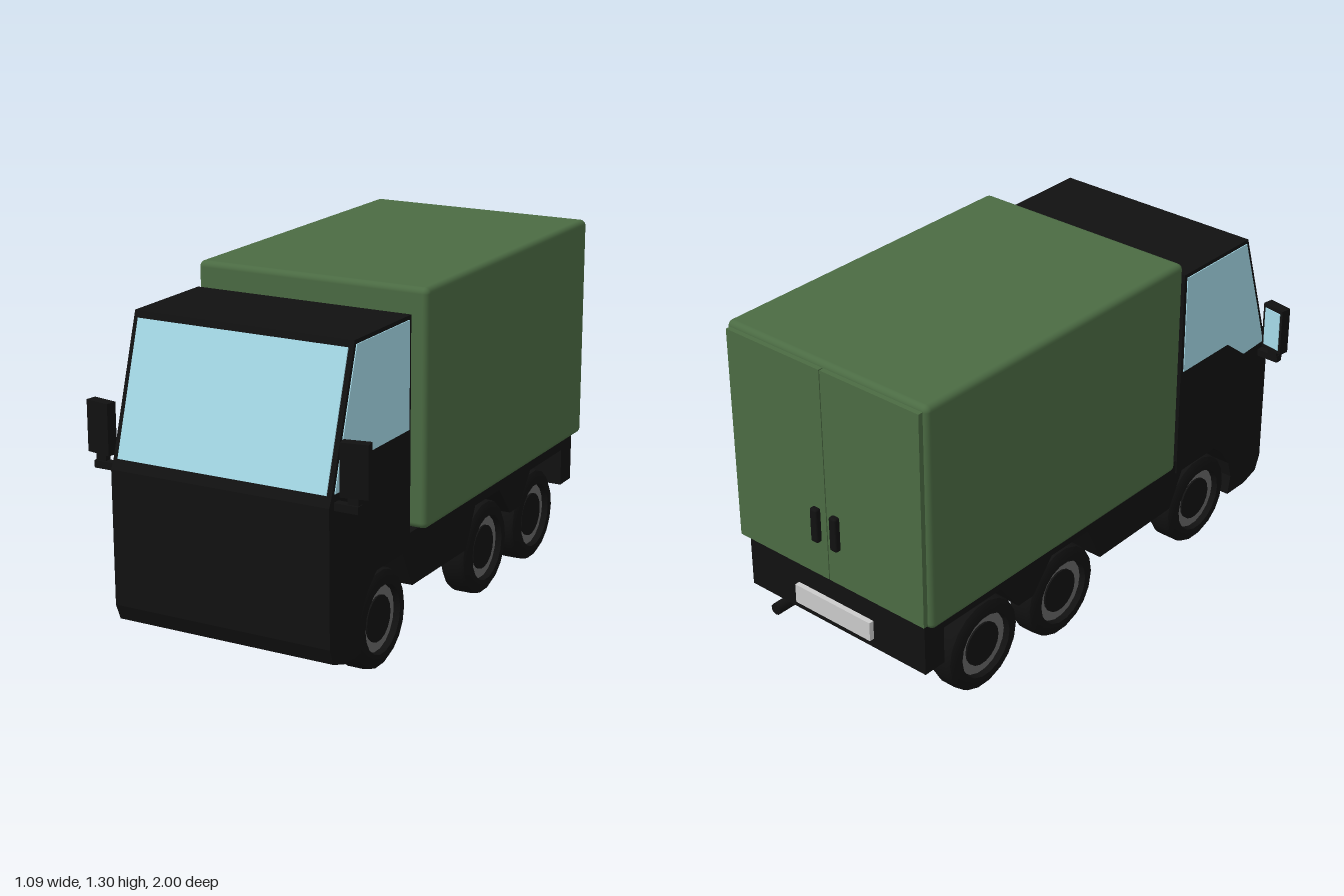
import * as THREE from 'three';
import { toCreasedNormals } from 'three/addons/utils/BufferGeometryUtils.js';
import { RoundedBoxGeometry } from 'three/addons/geometries/RoundedBoxGeometry.js';

const mat = (color) => new THREE.MeshStandardMaterial({ color });
const black = mat(0x111111);
const green = mat(0x4b6b43);
const glass = mat(0xa5dae8);
const rimGrey = mat(0x666666);
const plateGrey = mat(0xcccccc);

function add(parent, name, geometry, material, x = 0, y = 0, z = 0) {
  const mesh = new THREE.Mesh(geometry, material);
  mesh.name = name;
  mesh.position.set(x, y, z);
  parent.add(mesh);
  return mesh;
}

const box = (w, h, d) => new THREE.BoxGeometry(w, h, d);

// Side profile of [z, y] points, extruded across x and centred on x = 0
function across(points, width) {
  const shape = new THREE.Shape(points.map(([z, y]) => new THREE.Vector2(z, y)));
  const geometry = new THREE.ExtrudeGeometry(shape, { depth: width, bevelEnabled: false });
  return geometry.rotateY(-Math.PI / 2).translate(width / 2, 0, 0);
}

// Wheel facing +x, centred on its own axis
function createWheel() {
  const wheel = new THREE.Group();
  wheel.name = 'wheel';
  const profile = [
    [0.02, -0.058], [0.155, -0.058], [0.175, -0.045], [0.18, -0.03], [0.18, 0.03],
    [0.175, 0.045], [0.155, 0.058], [0.125, 0.058], [0.12, 0.03],
  ].map(([r, h]) => new THREE.Vector2(r, h));
  const tyre = toCreasedNormals(new THREE.LatheGeometry(profile, 18), 0.6);
  add(wheel, 'tyre', tyre.rotateZ(-Math.PI / 2), black);
  const rim = new THREE.CylinderGeometry(0.122, 0.122, 0.02, 18).rotateZ(-Math.PI / 2);
  add(wheel, 'rim', rim, rimGrey, 0.025);
  const hub = new THREE.CylinderGeometry(0.084, 0.084, 0.02, 18).rotateZ(-Math.PI / 2);
  add(wheel, 'hub', hub, black, 0.032);
  return wheel;
}

// Door mirror for the +x side
function createMirror() {
  const mirror = new THREE.Group();
  mirror.name = 'doorMirror';
  add(mirror, 'mirrorArm', box(0.1, 0.027, 0.03), black, 0.465, 0.698, 0.955);
  add(mirror, 'mirrorStem', box(0.04, 0.05, 0.025), black, 0.492, 0.725, 0.95);
  const head = new THREE.Group();
  head.name = 'mirrorHead';
  head.position.set(0.495, 0.828, 0.948);
  head.rotation.y = 0.18;
  add(head, 'mirrorHousing', box(0.098, 0.185, 0.04), black);
  add(head, 'mirrorGlass', box(0.076, 0.155, 0.004), glass, 0, 0, -0.021);
  mirror.add(head);
  return mirror;
}

export function createModel() {
  const truck = new THREE.Group();
  truck.name = 'boxTruck';

  // Cab with front wheel arch
  const cab = new THREE.Group();
  cab.name = 'cab';
  truck.add(cab);
  add(cab, 'cabBody', across([
    [0.44, 1.22], [0.83, 1.22], [0.985, 0.73], [1, 0.7], [1, 0.21], [0.975, 0.15],
    [0.9, 0.125], [0.79, 0.125], [0.805, 0.2], [0.785, 0.27], [0.74, 0.335],
    [0.68, 0.385], [0.44, 0.385],
  ], 0.85), black);
  add(cab, 'windscreen', across([
    [0.838, 1.195], [0.842, 1.197], [0.987, 0.737], [0.983, 0.735],
  ], 0.814), glass);
  const windowProfile = [
    [0.455, 0.82], [0.455, 1.205], [0.82, 1.205], [0.915, 0.905],
    [0.966, 0.74], [0.84, 0.735], [0.73, 0.82],
  ];
  for (const side of [1, -1]) {
    add(cab, 'sideWindow', across(windowProfile, 0.004), glass, side * 0.4265);
  }

  // Mirrors, the second one flipped across x
  const mirrorLeft = createMirror();
  const mirrorRight = createMirror();
  mirrorRight.scale.x = -1;
  cab.add(mirrorLeft, mirrorRight);

  // Chassis with skirts between the wheels
  add(truck, 'chassis', across([
    [0.6, 0.44], [0.6, 0.385], [0.485, 0.385], [0.41, 0.24], [-0.01, 0.235],
    [-0.085, 0.385], [-0.29, 0.385], [-0.39, 0.265], [-0.47, 0.265], [-0.565, 0.385],
    [-0.86, 0.385], [-0.86, 0.24], [-0.955, 0.24], [-0.955, 0.44],
  ], 0.84), black);
  add(truck, 'numberPlate', box(0.36, 0.075, 0.02), plateGrey, 0, 0.315, -0.965);
  const pipe = new THREE.CylinderGeometry(0.022, 0.022, 0.4, 10).rotateX(Math.PI / 2);
  add(truck, 'exhaustPipe', pipe, black, 0.262, 0.22, -0.8);

  // Wheels and axles
  for (const z of [0.61, -0.21, -0.635]) {
    const axle = new THREE.CylinderGeometry(0.04, 0.04, 0.6, 10).rotateZ(Math.PI / 2);
    add(truck, 'axle', toCreasedNormals(axle, 0.4), rimGrey, 0, 0.18, z);
    for (const side of [1, -1]) {
      const wheel = createWheel();
      wheel.position.set(side * 0.354, 0.18, z);
      wheel.rotation.y = side > 0 ? 0 : Math.PI;
      truck.add(wheel);
    }
  }

  // Cargo box with rear doors
  const cargo = new THREE.Group();
  cargo.name = 'cargo';
  truck.add(cargo);
  add(cargo, 'cargoBox', new RoundedBoxGeometry(0.92, 0.86, 1.345, 3, 0.022), green, 0, 0.87, -0.2875);
  for (const side of [1, -1]) {
    add(cargo, 'rearDoor', box(0.438, 0.825, 0.03), green, side * 0.221, 0.868, -0.964);
    add(cargo, 'doorHandle', new RoundedBoxGeometry(0.034, 0.135, 0.026, 2, 0.008), black, side * 0.045, 0.667, -0.987);
  }

  return truck;
}
